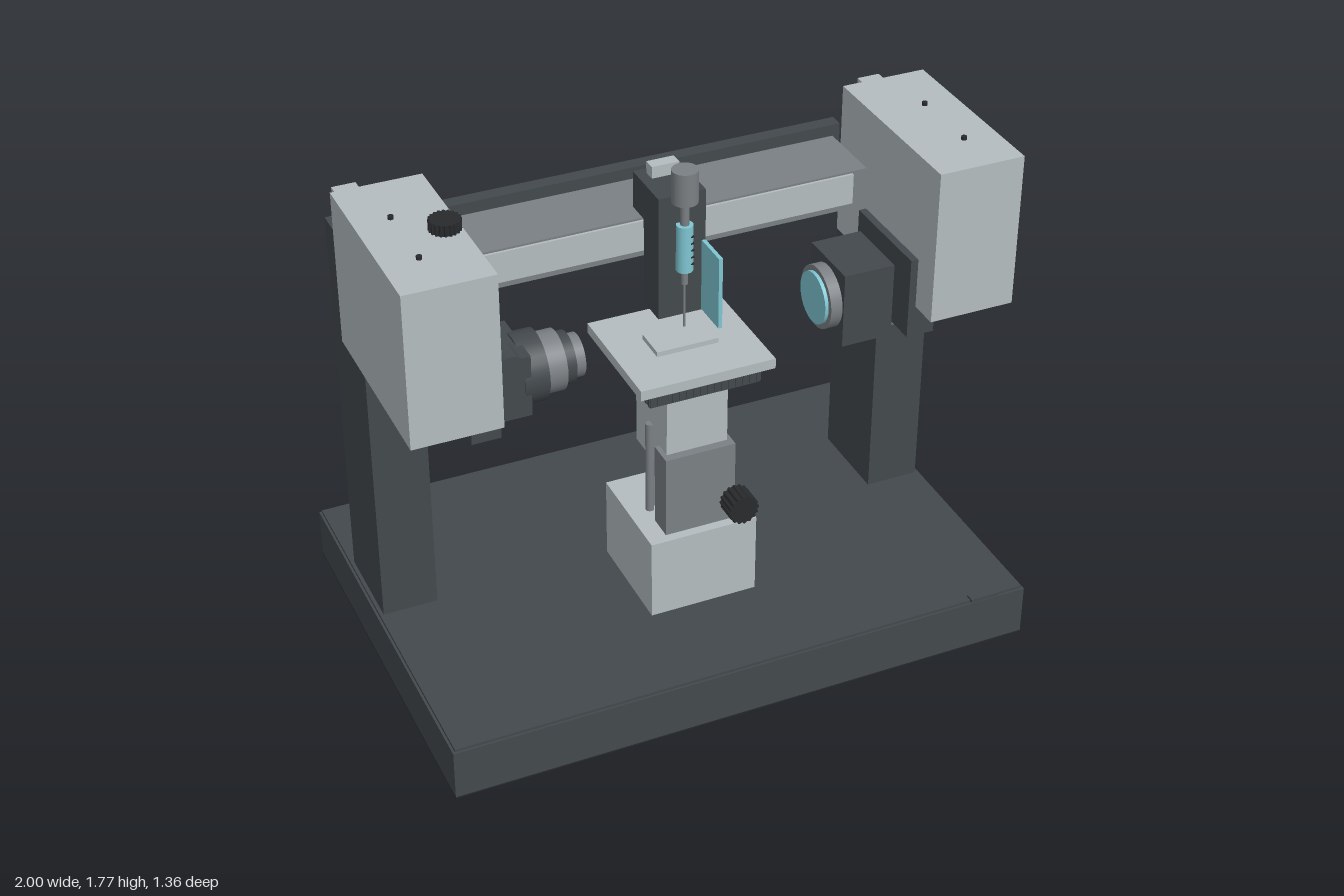
import * as THREE from 'three';

const mat = (name, color) => {
  const m = new THREE.MeshStandardMaterial({ color });
  m.name = name;
  return m;
};

export function createModel() {
  const dark = mat('charcoal', 0x43494d);
  const light = mat('light grey', 0xb3bcbf);
  const grey = mat('mid grey', 0x7b8084);
  const cyan = mat('pale cyan', 0x7fc6d2);
  const black = mat('black', 0x282a2c);
  const root = new THREE.Group();
  root.name = 'microInjectionRig';

  const add = (name, geo, material, parent = root) => {
    const m = new THREE.Mesh(geo, material);
    m.name = name;
    parent.add(m);
    return m;
  };
  // box given by its limits on each axis
  const box = (name, material, x0, x1, y0, y1, z0, z1, parent) => {
    const m = add(name, new THREE.BoxGeometry(Math.abs(x1 - x0), y1 - y0, z1 - z0), material, parent);
    m.position.set((x0 + x1) / 2, (y0 + y1) / 2, (z0 + z1) / 2);
    return m;
  };
  // cylinder centred at x, y, z along the given axis
  const cyl = (name, material, r, h, x, y, z, axis = 'y', parent = root, sides = 32) => {
    const geo = new THREE.CylinderGeometry(r, r, h, sides);
    if (axis === 'x') geo.rotateZ(Math.PI / 2);
    if (axis === 'z') geo.rotateX(Math.PI / 2);
    const m = add(name, geo, material, parent);
    m.position.set(x, y, z);
    return m;
  };
  // knurled knob: extruded gear outline along z
  const knurl = (r, h, teeth) => {
    const pts = [];
    for (let i = 0; i < teeth * 4; i++) {
      const a = (i / (teeth * 4)) * Math.PI * 2, q = i % 4 < 2 ? r : r * 0.9;
      pts.push(new THREE.Vector2(Math.cos(a) * q, Math.sin(a) * q));
    }
    return new THREE.ExtrudeGeometry(new THREE.Shape(pts), { depth: h, bevelEnabled: false });
  };

  // base slab, underside and feet
  box('base', dark, -1, 1, 0.05, 0.225, -0.672, 0.677);
  box('baseTop', dark, -0.992, 0.992, 0.225, 0.235, -0.665, 0.67);
  box('baseUnderside', black, -1, 1, 0.045, 0.05, -0.672, 0.677);
  for (const x of [-0.84, 0.84]) for (const z of [-0.512, 0.525])
    cyl('foot', dark, 0.06, 0.046, x, 0.023, z);
  box('frontSwitch', dark, 0.8, 0.9, 0.23, 0.243, 0.65, 0.68);

  // sockets and vent slots on the back of the base
  const ports = new THREE.Group();
  ports.name = 'rearPorts';
  root.add(ports);
  box('portPanel', dark, 0.58, 0.96, 0.08, 0.205, -0.675, -0.67, ports);
  box('powerSocketRim', grey, 0.8, 0.9, 0.105, 0.185, -0.678, -0.67, ports);
  box('powerSocket', black, 0.806, 0.894, 0.111, 0.179, -0.68, -0.67, ports);
  for (const x of [0.825, 0.85, 0.875]) box('socketPin', grey, x - 0.004, x + 0.004, 0.135, 0.155, -0.682, -0.67, ports);
  box('dataSocket', black, 0.68, 0.735, 0.125, 0.165, -0.683, -0.67, ports);
  for (let i = 0; i < 6; i++) {
    const x = 0.355 + i * 0.031;
    box('baseVentSlot', black, x, x + 0.009, 0.105, 0.175, -0.674, -0.67, ports);
  }

  // mirrored columns, rails, heads and brackets
  for (const s of [-1, 1]) {
    const side = new THREE.Group();
    side.name = s < 0 ? 'rightTower' : 'leftTower';
    root.add(side);
    box('column', dark, s * 0.795, s * 0.98, 0.235, 1.56, -0.345, -0.037, side);
    box('rearRail', light, s * 0.865, s * 0.943, 0.31, 1.64, -0.378, -0.343, side);
    box('headHousing', light, s * 0.71, s * 1, 1.207, 1.73, -0.19, 0.45, side);
    for (const z of [0.03, 0.28]) cyl('headScrew', black, 0.009, 0.012, s * 0.885, 1.735, z, 'y', side, 16);
    // head vent grid
    for (let r = 0; r < 5; r++) for (let c = 0; c < 6; c++) {
      const x = s * (0.79 + c * 0.033), y = 1.56 + r * 0.026;
      box('headVent', black, x, x + s * 0.024, y, y + 0.014, -0.193, -0.189, side);
    }
    box('supportBracket', grey, s * 0.755, s * 0.846, 0.985, 1.22, -0.037, 0.108, side);
    box('mountPlate', dark, s * 0.685, s * 0.78, 1.1, 1.207, 0, 0.35, side);
    box('mountPlateUpper', dark, s * 0.685, s * 0.711, 1.2, 1.38, 0, 0.35, side);
  }
  const headKnob = add('headKnob', knurl(0.05, 0.036, 20), black);
  headKnob.rotation.x = -Math.PI / 2;
  headKnob.position.set(-0.76, 1.73, 0.15);

  // cross beam
  box('beamBackBar', dark, -0.72, 0.72, 1.43, 1.58, -0.268, -0.22);
  box('beam', grey, -0.695, 0.695, 1.405, 1.54, -0.22, 0.018);
  box('beamFacePlate', light, -0.645, 0.645, 1.428, 1.533, 0.018, 0.027);

  // viewing optics on the -x side
  const scope = new THREE.Group();
  scope.name = 'objective';
  root.add(scope);
  box('objectiveBody', dark, -0.69, -0.545, 1.078, 1.29, 0.025, 0.245, scope);
  [[dark, 0.115, -0.565, -0.485], [grey, 0.098, -0.485, -0.42], [dark, 0.085, -0.42, -0.385], [grey, 0.07, -0.385, -0.35]]
    .forEach(([m, r, a, b]) => cyl('objectiveRing', m, r, b - a, (a + b) / 2, 1.183, 0.135, 'x', scope));
  cyl('objectiveGlass', black, 0.052, 0.004, -0.349, 1.183, 0.135, 'x', scope);
  cyl('focusKnob', dark, 0.04, 0.08, -0.635, 1.315, 0.28, 'z', scope);
  box('focusKnobMount', dark, -0.665, -0.605, 1.27, 1.315, 0.19, 0.245, scope);

  // lamp on the +x side
  const lamp = new THREE.Group();
  lamp.name = 'lamp';
  root.add(lamp);
  box('lampBody', dark, 0.51, 0.686, 1.05, 1.31, 0.015, 0.248, lamp);
  cyl('lampRing', grey, 0.106, 0.04, 0.49, 1.183, 0.135, 'x', lamp);
  cyl('lampLens', cyan, 0.088, 0.012, 0.464, 1.183, 0.135, 'x', lamp);

  // specimen lift
  const lift = new THREE.Group();
  lift.name = 'lift';
  root.add(lift);
  box('liftBase', light, -0.185, 0.185, 0.235, 0.52, -0.055, 0.32, lift);
  box('liftPost', light, -0.09, 0.09, 0.52, 0.72, 0.06, 0.2, lift);
  box('liftCarriage', light, -0.105, 0.105, 0.72, 1.03, 0.017, 0.258, lift);
  box('liftFrontPlate', grey, -0.121, 0.121, 0.52, 0.81, 0.2, 0.288, lift);
  for (const x of [-0.111, 0.111]) cyl('liftRod', grey, 0.014, 0.34, x, 0.688, 0.137, 'y', lift, 16);
  cyl('liftKnobShaft', black, 0.03, 0.02, 0.115, 0.605, 0.295, 'z', lift);
  const liftKnob = add('liftKnob', knurl(0.052, 0.075, 16), black, lift);
  liftKnob.position.set(0.115, 0.605, 0.298);

  // stage with ribbed skirt
  const stage = new THREE.Group();
  stage.name = 'stage';
  root.add(stage);
  box('stageNeck', dark, -0.08, 0.08, 1.03, 1.045, 0.06, 0.2, stage);
  box('stageSkirt', dark, -0.185, 0.185, 1.045, 1.1, -0.055, 0.315, stage);
  for (let i = 0; i < 16; i++) {
    const t = -0.186 + i * 0.0241;
    box('skirtRib', dark, t, t + 0.011, 1.05, 1.095, -0.06, 0.32, stage);
    box('skirtRib', dark, -0.19, 0.19, 1.05, 1.095, 0.13 + t, 0.141 + t, stage);
  }
  box('stagePlate', light, -0.228, 0.228, 1.1, 1.135, -0.085, 0.342, stage);
  box('specimenPad', light, -0.105, 0.105, 1.135, 1.152, 0.072, 0.185, stage);

  // injector on the beam
  const injector = new THREE.Group();
  injector.name = 'injector';
  root.add(injector);
  box('injectorBlock', dark, -0.08, 0.078, 1.24, 1.665, 0.027, 0.138, injector);
  box('injectorSaddle', dark, -0.08, 0.078, 1.54, 1.665, -0.055, 0.027, injector);
  box('injectorClip', light, -0.046, 0.046, 1.665, 1.705, -0.03, 0.012, injector);
  const z = 0.155;
  cyl('plungerKnob', grey, 0.042, 0.11, 0, 1.705, z, 'y', injector);
  cyl('plungerRod', grey, 0.014, 0.09, 0, 1.61, z, 'y', injector, 16);
  cyl('syringeBarrel', cyan, 0.027, 0.16, 0, 1.49, z, 'y', injector);
  cyl('syringeTip', grey, 0.011, 0.05, 0, 1.385, z, 'y', injector, 16);
  cyl('needle', grey, 0.004, 0.16, 0, 1.285, z, 'y', injector, 10);
  for (let i = 0; i < 5; i++) box('syringeMark', black, 0.01, 0.021, 1.437 + i * 0.024, 1.441 + i * 0.024, z + 0.017, z + 0.026, injector);
  box('shieldPanel', cyan, 0.065, 0.078, 1.243, 1.49, 0.138, 0.265, injector);

  return root;
}
